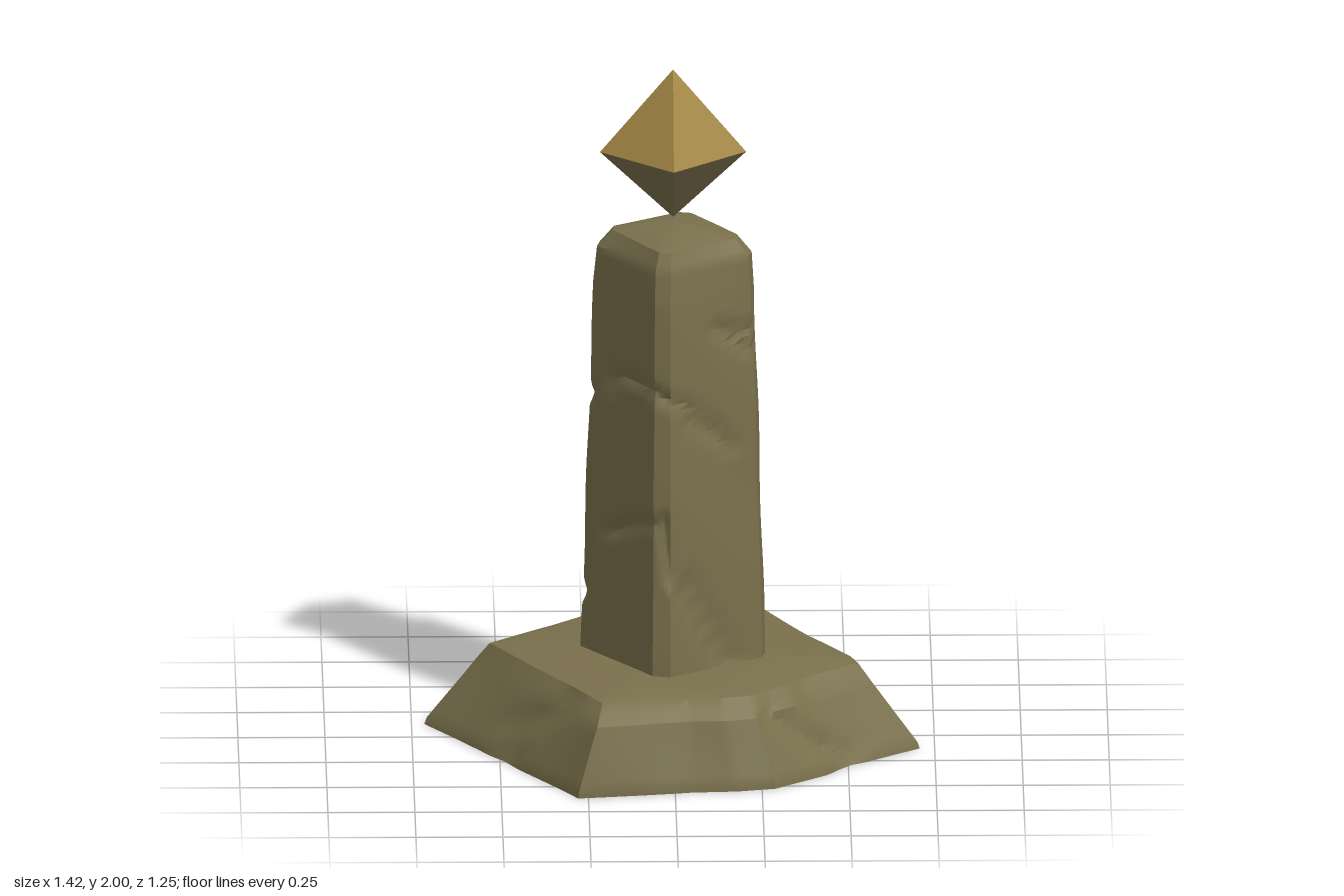
import * as THREE from 'three';
import { toCreasedNormals } from 'three/addons/utils/BufferGeometryUtils.js';

// Split every edge of a closed [x, z] outline into k pieces
function subdivide(outline, k) {
  return outline.flatMap(([x, z], i) => {
    const [nx, nz] = outline[(i + 1) % outline.length];
    return Array.from({ length: k }, (_, j) => [x + (nx - x) * j / k, z + (nz - z) * j / k]);
  });
}

// Cut each corner of an outline into a short bevel
function bevelCorners(outline, t) {
  const n = outline.length;
  return outline.flatMap(([x, z], i) =>
    [outline[(i + n - 1) % n], outline[(i + 1) % n]].map(([a, b]) => [x + (a - x) * t, z + (b - z) * t]));
}

function segmentDistance(u, v, [a, b], [c, d]) {
  const du = c - a, dv = d - b;
  const t = THREE.MathUtils.clamp(((u - a) * du + (v - b) * dv) / (du * du + dv * dv), 0, 1);
  return Math.hypot(u - a - du * t, v - b - dv * t);
}

// Cracks are polylines drawn on one side of a block: axis 'z' uses (x, y), axis 'x' uses (z, y)
function crackDepth(p, cracks, width, depth) {
  let deepest = 0;
  for (const { axis, sign, line } of cracks) {
    if (p[axis] * sign < 0.03) continue;
    const u = axis === 'z' ? p.x : p.z;
    for (let i = 0; i + 1 < line.length; i++) {
      const d = segmentDistance(u, p.y, line[i], line[i + 1]);
      deepest = Math.max(deepest, depth * (1 - d / width));
    }
  }
  return deepest;
}

// Loft an outline through [y, scaleX, scaleZ] levels, then weather and crack the sides
function stoneBlock(outline, levels, rowHeight, capY, cracks, width, depth) {
  const pos = [], index = [], n = outline.length;
  const rows = [];
  levels.forEach((a, i) => {
    const b = levels[i + 1];
    const steps = b ? Math.max(1, Math.round((b[0] - a[0]) / rowHeight)) : 1;
    for (let s = 0; s < steps; s++) rows.push(b ? a.map((v, q) => v + (b[q] - v) * s / steps) : a);
  });
  const p = new THREE.Vector3();
  rows.forEach(([y, sx, sz]) => outline.forEach(([x, z]) => {
    p.set(x * sx, y, z * sz);
    const wear = 0.004 * Math.sin(9 * p.x + 7 * y + 2) * Math.sin(8 * p.z - 5 * y);
    const r = Math.hypot(p.x, p.z);
    const k = 1 - (wear + crackDepth(p, cracks, width, depth)) / r;
    pos.push(p.x * k, y, p.z * k);
  }));
  for (let i = 0; i + 1 < rows.length; i++) {
    for (let j = 0; j < n; j++) {
      const a = i * n + j, b = i * n + (j + 1) % n;
      index.push(a, a + n, b, b, a + n, b + n);
    }
  }
  // Top and bottom caps
  const bottom = rows.length * n, last = bottom - n;
  pos.push(0, rows[0][0], 0, 0, capY, 0);
  for (let j = 0; j < n; j++) {
    const k = (j + 1) % n;
    index.push(bottom, j, k, bottom + 1, last + k, last + j);
  }
  const g = new THREE.BufferGeometry();
  g.setAttribute('position', new THREE.Float32BufferAttribute(pos, 3));
  g.setIndex(index);
  return toCreasedNormals(g, 0.5);
}

// Four triangles from a square waist to a point
function pyramid(y, tipY, r) {
  const waist = [[r, 0], [0, r], [-r, 0], [0, -r]], pos = [];
  waist.forEach(([x, z], i) => {
    const [a, b] = waist[(i + 1) % 4];
    if (tipY > y) pos.push(x, y, z, 0, tipY, 0, a, y, b);
    else pos.push(x, y, z, a, y, b, 0, tipY, 0);
  });
  const g = new THREE.BufferGeometry();
  g.setAttribute('position', new THREE.Float32BufferAttribute(pos, 3));
  g.computeVertexNormals();
  return g;
}

export function createModel() {
  const stone = new THREE.MeshStandardMaterial({ color: 0x7a704c });
  stone.name = 'stone';
  const gold = new THREE.MeshStandardMaterial({ color: 0xa28544 });
  gold.name = 'gold';

  const model = new THREE.Group();
  model.name = 'crystalMonument';
  const add = (name, geometry, material) => {
    const mesh = new THREE.Mesh(geometry, material);
    mesh.name = name;
    model.add(mesh);
  };

  // Rough, chipped plinth
  const baseOutline = [
    [0.31, -0.63], [0.52, -0.21], [0.68, 0.05], [0.71, 0.13], [0.48, 0.33], [0.44, 0.39], [0.29, 0.53],
    [0.18, 0.555], [0.05, 0.56], [-0.28, 0.62], [-0.49, 0.25], [-0.71, -0.13], [-0.46, -0.35],
    [-0.28, -0.53], [-0.1, -0.565], [0.02, -0.57],
  ];
  const baseLevels = [[0, 1, 1], [0.02, 0.99, 1], [0.2, 0.8, 0.93], [0.25, 0.745, 0.81], [0.258, 0.68, 0.72]];
  const baseCracks = [
    { axis: 'z', sign: 1, line: [[-0.48, 0.02], [-0.46, 0.09], [-0.3, 0.22]] },
    { axis: 'z', sign: 1, line: [[0.27, 0.2], [0.42, 0.08], [0.52, 0.02]] },
    { axis: 'x', sign: 1, line: [[-0.25, 0.12], [-0.15, 0.03]] },
  ];
  add('plinth', stoneBlock(subdivide(baseOutline, 6), baseLevels, 0.025, 0.26, baseCracks, 0.035, 0.02), stone);

  // Tapering pillar with bevelled edges and a low pointed cap
  const pillarCorners = [[0.285, 0.055], [-0.04, 0.295], [-0.285, -0.08], [0.06, -0.295]];
  const pillarOutline = subdivide(bevelCorners(pillarCorners, 0.09), 9);
  const pillarLevels = [[0.23, 1, 1], [1.36, 0.87, 0.87], [1.46, 0.84, 0.83], [1.51, 0.68, 0.75]];
  const pillarCracks = [
    { axis: 'z', sign: 1, line: [[-0.26, 0.58], [-0.12, 0.68], [-0.03, 0.72], [-0.01, 0.55], [0.04, 0.46], [0.13, 0.28]] },
    { axis: 'z', sign: 1, line: [[-0.23, 0.98], [-0.17, 1.1], [-0.08, 1.11], [0.02, 1.06], [0.11, 0.98], [0.17, 0.9]] },
    { axis: 'z', sign: 1, line: [[0.12, 1.27], [0.22, 1.18]] },
    { axis: 'x', sign: 1, line: [[0.27, 0.65], [0.2, 0.45], [0.14, 0.27]] },
    { axis: 'x', sign: 1, line: [[0.25, 1.05], [0.14, 0.93]] },
    { axis: 'x', sign: 1, line: [[0.13, 1.26], [0.07, 1.24]] },
    { axis: 'z', sign: -1, line: [[0.05, 0.7], [-0.26, 0.42]] },
    { axis: 'z', sign: -1, line: [[0, 0.9], [-0.26, 1.03]] },
  ];
  add('pillar', stoneBlock(pillarOutline, pillarLevels, 0.02, 1.55, pillarCracks, 0.03, 0.014), stone);

  // Floating crystal, gold above and stone below
  add('crystalTop', pyramid(1.753, 2, 0.21), gold);
  add('crystalBottom', pyramid(1.753, 1.558, 0.21), stone);
  return model;
}
